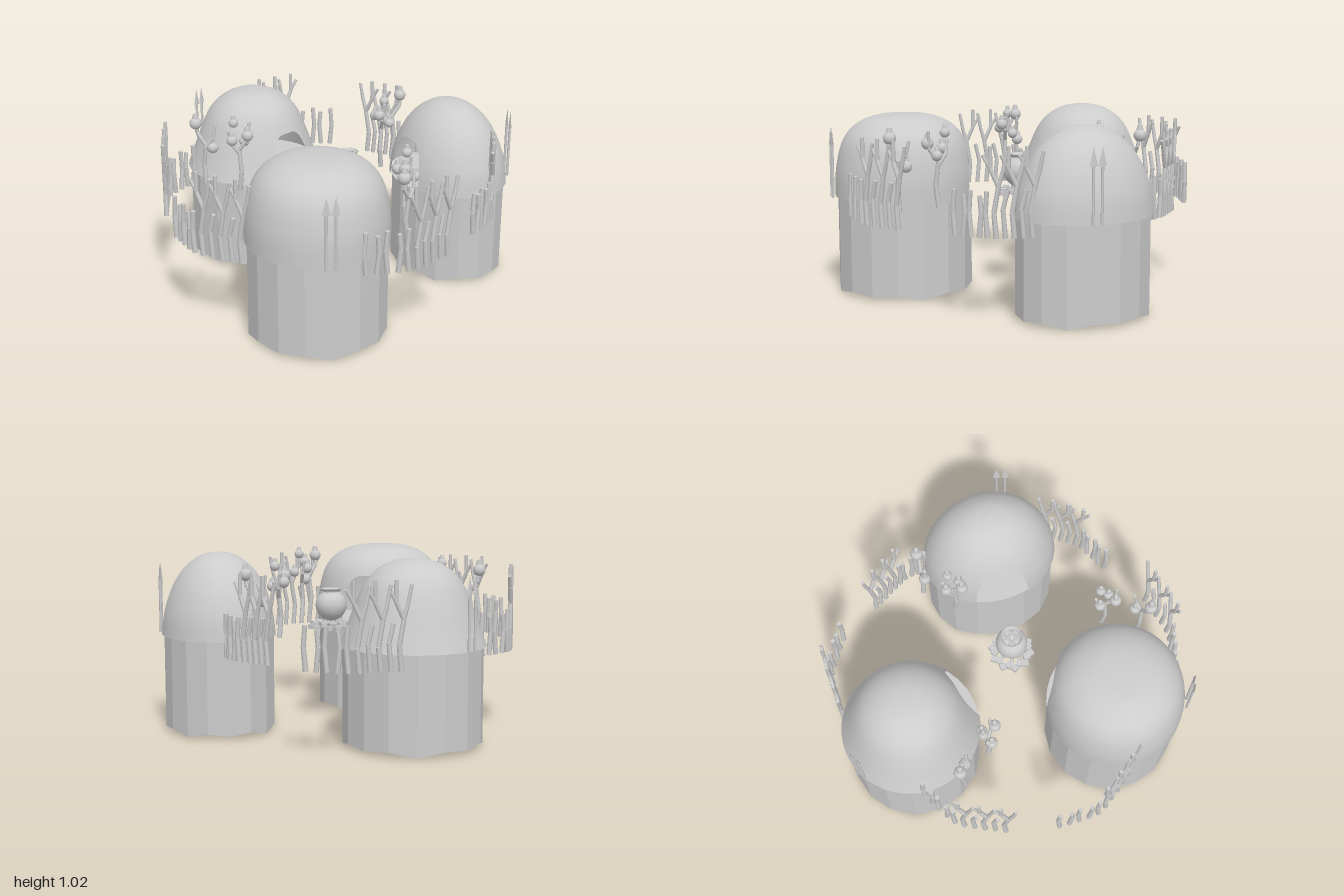
import * as THREE from 'three';

const smooth = new THREE.MeshStandardMaterial({ color: 0xcccccc, side: THREE.DoubleSide });
const faceted = new THREE.MeshStandardMaterial({ color: 0xcccccc, side: THREE.DoubleSide, flatShading: true });
const V = (x, y, z) => new THREE.Vector3(x, y, z);

function add(parent, name, geometry, material = smooth, x = 0, y = 0, z = 0) {
  const mesh = new THREE.Mesh(geometry, material);
  mesh.name = name;
  mesh.position.set(x, y, z);
  parent.add(mesh);
  return mesh;
}

function group(parent, name, x = 0, y = 0, z = 0) {
  const g = new THREE.Group();
  g.name = name;
  g.position.set(x, y, z);
  parent.add(g);
  return g;
}

// Tapered stick between two points
function stick(parent, name, a, b, r0, r1 = r0) {
  const d = b.clone().sub(a);
  const mesh = add(parent, name, new THREE.CylinderGeometry(r1, r0, d.length(), 7));
  mesh.position.copy(a).addScaledVector(d, 0.5);
  mesh.quaternion.setFromUnitVectors(V(0, 1, 0), d.normalize());
}

function limb(parent, name, points, r0, r1) {
  const n = points.length - 1;
  for (let i = 0; i < n; i++) {
    stick(parent, name, points[i], points[i + 1], r0 + (r1 - r0) * i / n, r0 + (r1 - r0) * (i + 1) / n);
  }
}

// Dome swept round a profile; columns in front of the door start at the arch
function domeGeometry(profile, doorAngle) {
  const curve = new THREE.SplineCurve(profile.map(p => new THREE.Vector2(...p)));
  const half = 0.41, doorCols = 20, wallCols = 48, rows = 20, columns = [];
  for (let i = 0; i <= doorCols; i++) {
    const s = -Math.cos(Math.PI * i / doorCols);
    columns.push([doorAngle + s * half, 0.41 * Math.sqrt(Math.max(0, 1 - s ** 4))]);
  }
  for (let i = 1; i < wallCols; i++) {
    columns.push([doorAngle + half + (2 * Math.PI - 2 * half) * i / wallCols, 0]);
  }
  const pos = [], index = [], n = columns.length;
  columns.forEach(([angle, start], i) => {
    for (let j = 0; j <= rows; j++) {
      const p = curve.getPointAt(Math.min(1, start + (1 - start) * j / rows));
      pos.push(p.x * Math.cos(angle), p.y, p.x * Math.sin(angle));
      if (j === rows) continue;
      const a = i * (rows + 1) + j, b = ((i + 1) % n) * (rows + 1) + j;
      index.push(a, a + 1, b, b, a + 1, b + 1);
    }
  });
  const g = new THREE.BufferGeometry();
  g.setAttribute('position', new THREE.Float32BufferAttribute(pos, 3));
  g.setIndex(index);
  g.computeVertexNormals();
  return g;
}

// Sixteen-sided wall, open below with an uneven lower edge
function baseGeometry() {
  const sides = 16, g = new THREE.CylinderGeometry(0.388, 0.388, 0.53, sides, 1, true);
  g.translate(0, 0.285, 0);
  const p = g.attributes.position;
  for (let i = 0; i < p.count; i++) {
    if (p.getY(i) > 0.3) continue;
    const k = Math.round(Math.atan2(p.getX(i), p.getZ(i)) / (2 * Math.PI / sides));
    p.setY(i, k % 2 ? 0.027 : k % 4 ? 0 : 0.015);
  }
  g.computeVertexNormals();
  return g;
}

function addHut(root, { x, z, rot = 0, squash = 1, door, profile }) {
  const hut = group(root, 'hut', x, 0, z);
  hut.rotation.y = -rot;
  hut.scale.z = squash;
  add(hut, 'baseWall', baseGeometry(), faceted);
  add(hut, 'dome', domeGeometry(profile, door - rot));
  add(hut, 'floor', new THREE.CircleGeometry(0.395, 32).rotateX(-Math.PI / 2), smooth, 0, 0.552, 0);
}

// Two upright spears leaning against a dome
function addSpears(root, x, z, angle) {
  const pair = group(root, 'spears', x, 0, z);
  pair.rotation.y = -angle;
  for (const side of [-0.025, 0.025]) {
    stick(pair, 'spearShaft', V(0, 0.55, side), V(0, 0.87, side), 0.008);
    const head = add(pair, 'spearHead', new THREE.ConeGeometry(0.024, 0.1, 4), faceted, 0, 0.905, side);
    head.scale.x = 0.35;
  }
}

// Row of posts: tall forked branches among stakes, then five short stakes
function addFence(root, corners) {
  const fence = group(root, 'fence');
  const path = new THREE.CatmullRomCurve3(corners.map(([x, z]) => V(x, 0, z)), false, 'catmullrom', 0.3);
  for (let i = 0; i < 10; i++) {
    const p = path.getPointAt(i / 9), t = path.getTangentAt(i / 9);
    const at = (y, along) => V(p.x + t.x * along, y, p.z + t.z * along);
    const bend = i % 2 ? 0.012 : -0.012;
    if (i > 4) {
      limb(fence, 'stake', [at(0.47, 0), at(0.6, bend), at(0.7 + bend, bend * 0.3)], 0.015, 0.013);
    } else if (i % 2 === 0) {
      const fork = at(0.74, bend);
      limb(fence, 'trunk', [at(0.47, 0), at(0.6, -bend), fork], 0.015, 0.013);
      limb(fence, 'branch', [fork, at(0.83, 0.03), at(0.945, 0.03)], 0.013, 0.011);
      limb(fence, 'branch', [fork, at(0.82, -0.035), at(0.92, -0.055)], 0.012, 0.01);
      limb(fence, 'twig', [at(0.83, 0.03), at(0.9, 0.07)], 0.01, 0.009);
    } else {
      limb(fence, 'stake', [at(0.47, 0), at(0.62, bend), at(0.72, -bend)], 0.014, 0.012);
    }
  }
}

// Small forked tree hung with round gourds
function addGourdTree(root, x, z, angle, full) {
  const tree = group(root, 'gourdTree', x, 0, z);
  tree.rotation.y = -angle;
  limb(tree, 'trunk', [V(0, full ? 0.55 : 0.52, 0), V(0.012, 0.67, 0.01), V(0, 0.8, 0)], 0.015, 0.012);
  limb(tree, 'branch', [V(0, 0.8, 0), V(0.05, 0.87, 0.01), V(0.06, 0.97, 0)], 0.012, 0.009);
  limb(tree, 'branch', [V(0, 0.78, 0), V(-0.045, 0.84, 0), V(-0.06, 0.92, 0.01)], 0.012, 0.009);
  const gourds = full
    ? [[0.05, 0.9, 0.03, 0.034], [-0.04, 0.87, 0.03, 0.032], [0.03, 0.84, -0.04, 0.03], [-0.03, 0.96, -0.02, 0.028]]
    : [[0.055, 0.93, 0, 0.036], [-0.04, 0.78, 0.01, 0.034]];
  for (const [gx, gy, gz, r] of gourds) {
    add(tree, 'gourd', new THREE.SphereGeometry(r, 12, 9), smooth, gx, gy, gz);
    add(tree, 'gourdNeck', new THREE.CylinderGeometry(r * 0.35, r * 0.6, r, 8), smooth, gx, gy + r * 1.1, gz);
  }
}

function addHearth(root) {
  const hearth = group(root, 'hearth', 0.155, 0, -0.08);
  // Ring of stones in two staggered courses
  for (let i = 0; i < 20; i++) {
    const a = i / 20 * Math.PI * 2, r = i % 2 ? 0.112 : 0.098;
    const stone = add(hearth, 'stone', new THREE.BoxGeometry(0.036, 0.026, 0.036), faceted,
      r * Math.cos(a), i % 2 ? 0.572 : 0.588, r * Math.sin(a));
    stone.rotation.y = Math.PI / 4 - a;
  }
  // Logs under the pot
  for (let i = 0; i < 4; i++) {
    const a = i * Math.PI / 4, c = 0.075 * Math.cos(a), s = 0.075 * Math.sin(a);
    stick(hearth, 'log', V(c, 0.57, s), V(-c, 0.6, -s), 0.011);
  }
  // Round pot with an open rim
  const pot = [[0, 0.605], [0.045, 0.618], [0.078, 0.65], [0.092, 0.695], [0.082, 0.74], [0.056, 0.77], [0.052, 0.78], [0.062, 0.795]];
  const curve = new THREE.SplineCurve(pot.map(p => new THREE.Vector2(...p)));
  add(hearth, 'pot', new THREE.LatheGeometry(curve.getPoints(24), 24));
  for (const s of [-0.02, 0.02]) {
    stick(hearth, 'potStick', V(-0.05, 0.765, s), V(0.05, 0.765, s), 0.008);
    stick(hearth, 'potStick', V(s, 0.775, -0.05), V(s, 0.775, 0.05), 0.008);
  }
}

export function createModel() {
  const root = new THREE.Group();
  root.name = 'village';

  // Three huts with doors towards the hearth
  addHut(root, { x: -0.58, z: -0.18, door: Math.atan2(0.08, 0.35),
    profile: [[0.402, 0.55], [0.365, 0.65], [0.31, 0.8], [0.26, 0.9], [0.19, 0.97], [0.1, 1.012], [0, 1.022]] });
  addHut(root, { x: 0.35, z: 0.56, door: Math.atan2(-0.31, -0.18),
    profile: [[0.398, 0.55], [0.393, 0.7], [0.355, 0.86], [0.28, 0.955], [0.16, 1.008], [0, 1.02]] });
  addHut(root, { x: 0.53, z: -0.625, rot: 0.56, squash: 0.82, door: Math.atan2(0.26, -0.155),
    profile: [[0.402, 0.55], [0.382, 0.68], [0.325, 0.82], [0.24, 0.93], [0.12, 1.005], [0, 1.025]] });

  addSpears(root, -0.985, -0.17, Math.PI);
  addSpears(root, 0.63, 0.875, 0.84);
  addSpears(root, 0.83, -0.815, -0.8);

  // Fence runs between the huts
  [
    [[0.98, 0.25], [0.91, 0.5], [0.73, 0.69]],
    [[0.1, 0.91], [-0.18, 0.94], [-0.4, 0.83]],
    [[-0.63, 0.63], [-0.79, 0.4], [-0.8, 0.15]],
    [[-0.8, -0.52], [-0.67, -0.76], [-0.46, -0.88]],
    [[-0.18, -0.89], [0.08, -0.9], [0.2, -0.85]],
    [[0.88, -0.48], [0.97, -0.3], [0.97, -0.08]],
  ].forEach(corners => addFence(root, corners));

  // A sparse and a full gourd tree beside each hut
  addGourdTree(root, -0.6, 0.28, 2.7, false);
  addGourdTree(root, -0.38, 0.25, -0.6, true);
  addGourdTree(root, 0.79, 0.35, 1.6, false);
  addGourdTree(root, 0.67, 0.17, 0.6, true);
  addGourdTree(root, 0.08, -0.74, -1.1, false);
  addGourdTree(root, 0.13, -0.52, 0.8, true);

  addHearth(root);
  return root;
}
